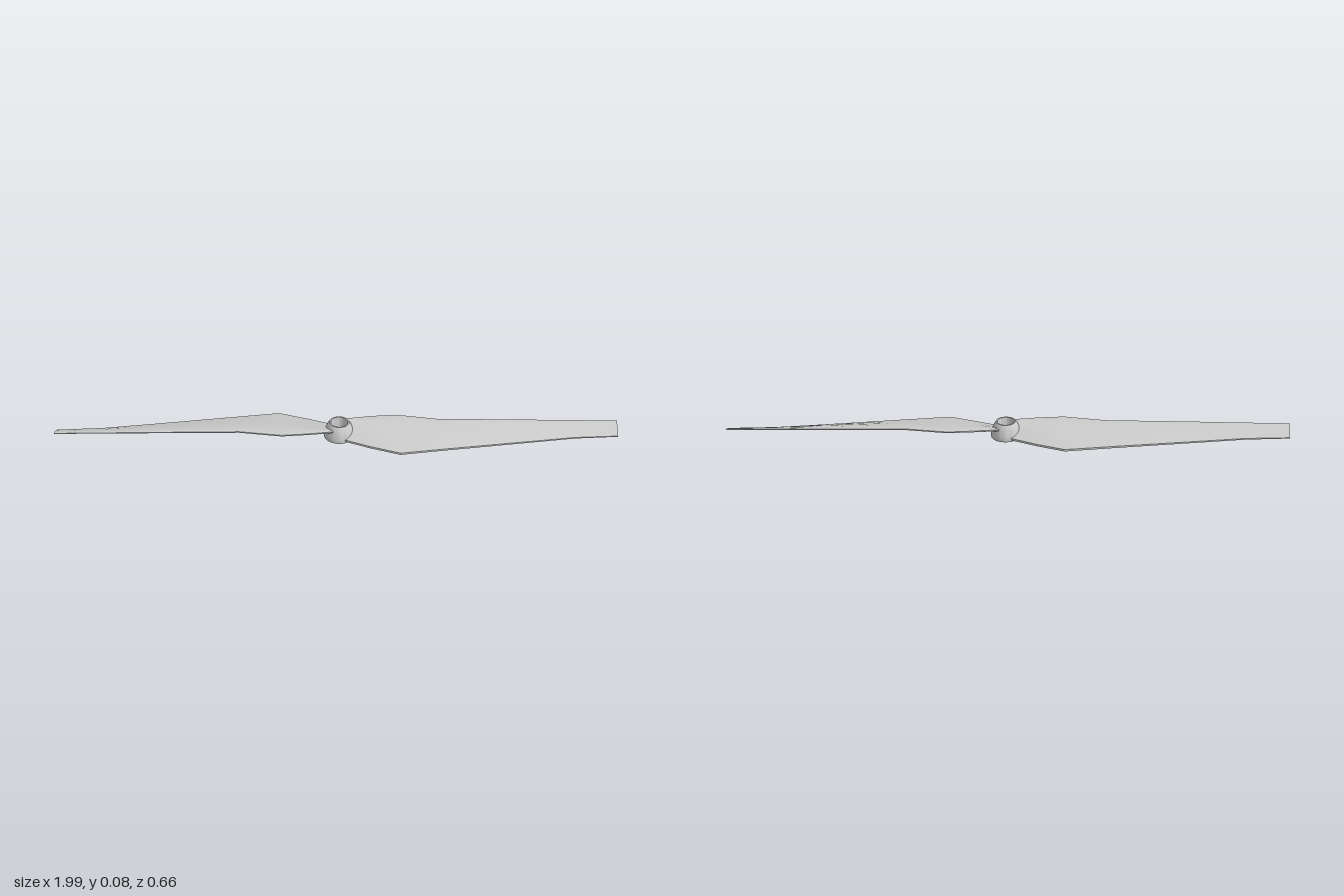
import * as THREE from 'three';
import { toCreasedNormals } from 'three/addons/utils/BufferGeometryUtils.js';

const material = new THREE.MeshStandardMaterial({ color: 0xcccccc, side: THREE.DoubleSide });

// Blade stations from root to tip: leading edge, trailing edge, thickness, outward bow of the chord
const stations = [
  { lead: [0.035, 0.058, -0.034], trail: [0.0, 0.024, 0.05], thick: 0.011, bow: 0.02 },
  { lead: [0.13, 0.059, -0.019], trail: [0.08, 0.022, 0.118], thick: 0.011, bow: 0 },
  { lead: [0.22, 0.059, 0.0], trail: [0.17, 0.021, 0.187], thick: 0.011, bow: 0 },
  { lead: [0.36, 0.058, 0.07], trail: [0.34, 0.022, 0.213], thick: 0.010, bow: 0 },
  { lead: [0.65, 0.056, 0.161], trail: [0.64, 0.023, 0.26], thick: 0.008, bow: 0 },
  { lead: [0.83, 0.054, 0.218], trail: [0.82, 0.024, 0.289], thick: 0.007, bow: 0 },
  { lead: [0.997, 0.053, 0.27], trail: [0.976, 0.025, 0.328], thick: 0.005, bow: 0 },
];

// Aerofoil loop as [chord fraction, height in thicknesses]: along the top, back underneath
const aerofoil = [
  [0, 0.45], [0.06, 0.85], [0.25, 1.15], [0.5, 1.2], [0.75, 1.0], [1, 0.7],
  [1, 0], [0.75, 0.1], [0.5, 0.2], [0.25, 0.1], [0.06, -0.1], [0, 0],
];

function bladeGeometry() {
  const positions = [];
  const index = [];
  const n = aerofoil.length;
  for (const { lead, trail, thick, bow } of stations) {
    for (const [t, h] of aerofoil) {
      const p = lead.map((v, k) => THREE.MathUtils.lerp(v, trail[k], t));
      positions.push(p[0] + bow * Math.sin(Math.PI * t), p[1] + h * thick, p[2]);
    }
  }
  for (let i = 0; i < stations.length - 1; i++) {
    for (let j = 0; j < n; j++) {
      const a = i * n + j;
      const b = i * n + (j + 1) % n;
      index.push(a, b, b + n, a, b + n, a + n);
    }
  }
  // End caps, as strips between the top and bottom lines
  const end = (stations.length - 1) * n;
  for (let j = 0; j < n / 2 - 1; j++) {
    const [a, b, c, d] = [j, j + 1, n - 2 - j, n - 1 - j];
    index.push(a, c, b, a, d, c);
    index.push(end + a, end + b, end + c, end + a, end + c, end + d);
  }
  const geometry = new THREE.BufferGeometry();
  geometry.setAttribute('position', new THREE.Float32BufferAttribute(positions, 3));
  geometry.setIndex(index);
  return toCreasedNormals(geometry, 0.5);
}

function addMesh(parent, name, geometry) {
  const mesh = new THREE.Mesh(geometry, material);
  mesh.name = name;
  parent.add(mesh);
  return mesh;
}

function lathe(points) {
  const profile = points.map(([r, y]) => new THREE.Vector2(r, y));
  return toCreasedNormals(new THREE.LatheGeometry(profile, 40), 0.5);
}

export function createModel() {
  const propeller = new THREE.Group();
  propeller.name = 'propeller';

  // Two identical blades, half a turn apart
  const blade = bladeGeometry();
  addMesh(propeller, 'leftBlade', blade);
  addMesh(propeller, 'rightBlade', blade).rotation.y = Math.PI;

  // Domed hub with an open bore
  addMesh(propeller, 'hub', lathe([
    [0.026, 0.014], [0.046, 0.014], [0.055, 0.018], [0.056, 0.023], [0.054, 0.034],
    [0.051, 0.046], [0.046, 0.06], [0.041, 0.07], [0.036, 0.077],
    [0.031, 0.077], [0.029, 0.06], [0.026, 0.04], [0.026, 0.014],
  ]));

  // Locking collar and its lugs under the hub
  addMesh(propeller, 'lockingCollar', lathe([
    [0.026, 0.011], [0.036, 0.011], [0.036, 0.015], [0.026, 0.015], [0.026, 0.011],
  ]));
  for (let i = 0; i < 3; i++) {
    const pivot = new THREE.Group();
    pivot.name = 'lockingLug';
    pivot.rotation.y = (i / 3) * Math.PI * 2;
    addMesh(pivot, 'lug', new THREE.BoxGeometry(0.012, 0.005, 0.02)).position.set(0.03, 0.0105, 0);
    propeller.add(pivot);
  }

  // The whole propeller leans slightly down towards its left
  propeller.rotation.z = -0.025;
  const model = new THREE.Group();
  model.name = 'model';
  model.add(propeller);
  return model;
}
